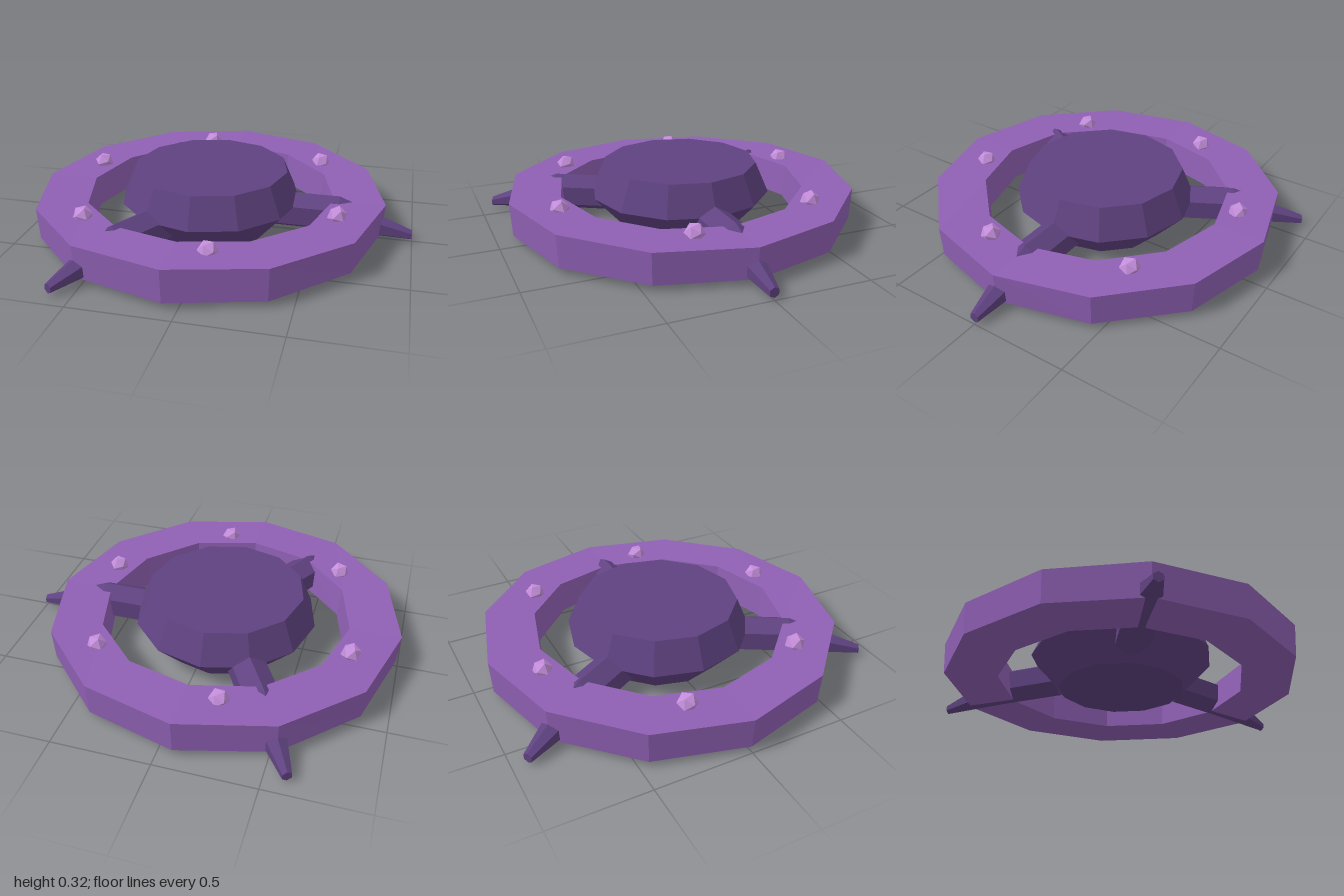
import * as THREE from 'three';

const material = (name, color) => new THREE.MeshStandardMaterial({ name, color, flatShading: true });

// Revolve a profile of [radius, height] pairs into a faceted solid
const revolve = (profile, sides) =>
  new THREE.LatheGeometry(profile.map(([r, y]) => new THREE.Vector2(r, y)), sides);

function add(parent, name, geometry, mat) {
  const mesh = new THREE.Mesh(geometry, mat);
  mesh.name = name;
  parent.add(mesh);
  return mesh;
}

// Six-sided spoke along +x: straight inside, tapering and drooping outside
function spokeGeometry() {
  const geo = revolve([[0, 0.36], [0.098, 0.36], [0.098, 0.69], [0.026, 1.07], [0, 1.07]], 6);
  const p = geo.attributes.position;
  for (let i = 0; i < p.count; i++) {
    const along = p.getY(i);
    const axis = 0.118 - 0.081 * Math.max(0, along - 0.69) / 0.38;
    p.setXYZ(i, along, p.getZ(i) + axis, p.getX(i));
  }
  geo.computeVertexNormals();
  return geo;
}

// Square-section ring with a slightly uneven top
function ringGeometry() {
  const geo = revolve([[0.645, 0.03], [0.916, 0.03], [0.926, 0.19], [0.66, 0.19], [0.645, 0.03]], 12);
  const p = geo.attributes.position;
  for (let i = 0; i < p.count; i++) {
    if (p.getY(i) > 0.1) {
      const x = p.getX(i), z = p.getZ(i);
      p.setY(i, 0.19 + 0.015 * z * z / (x * x + z * z));
    }
  }
  geo.computeVertexNormals();
  return geo;
}

export function createModel() {
  const ringMat = material('ring purple', 0x8f60b4);
  const darkMat = material('dark purple', 0x5f4280);
  const gemMat = material('light violet', 0xc48edb);

  const model = new THREE.Group();
  model.name = 'spikedDisc';
  const body = new THREE.Group();
  body.name = 'body';
  body.position.x = -0.073;
  model.add(body);

  // Central hub and outer ring
  add(body, 'hub', revolve([[0, 0], [0.33, 0], [0.48, 0.165], [0.41, 0.325], [0, 0.325]], 12), darkMat);
  add(body, 'ring', ringGeometry(), ringMat);

  // Three spokes ending in outer spikes
  const spoke = spokeGeometry();
  for (let i = 0; i < 3; i++) {
    add(body, 'spoke' + (i + 1), spoke, darkMat).rotation.y = i * Math.PI * 2 / 3;
  }

  // Six crystals set in the top of the ring
  const gem = new THREE.IcosahedronGeometry(0.052, 0);
  for (let i = 0; i < 6; i++) {
    const a = THREE.MathUtils.degToRad(17 + i * 60);
    const mesh = add(body, 'crystal' + (i + 1), gem, gemMat);
    mesh.position.set(0.727 * Math.cos(a), 0.205, 0.727 * Math.sin(a));
    mesh.rotation.set(0.5, -a, 0, 'YXZ');
  }
  return model;
}
